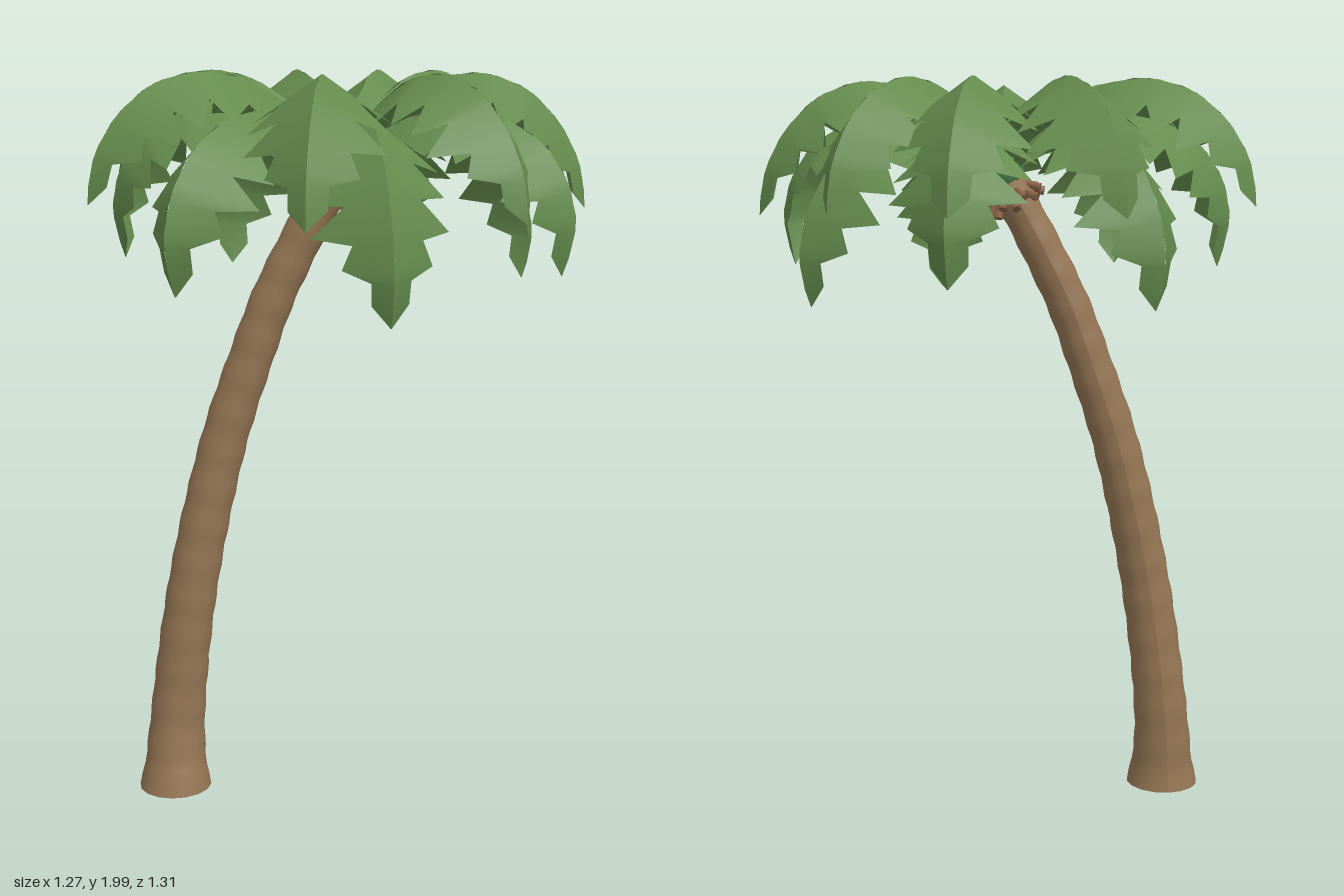
import * as THREE from 'three';

const V3 = (x, y, z) => new THREE.Vector3(x, y, z);

const bark = new THREE.MeshStandardMaterial({ name: 'bark brown', color: 0x957654 });
const husk = new THREE.MeshStandardMaterial({ name: 'husk brown', color: 0x8c6548 });
const leaf = new THREE.MeshStandardMaterial({ name: 'leaf green', color: 0x648b4d, side: THREE.DoubleSide });
const bud = new THREE.MeshStandardMaterial({ name: 'bud green', color: 0x4a7a4a });

const CROWN = V3(-0.01, 0, 0);

// Leaning centre line of the trunk
const trunkLine = new THREE.CatmullRomCurve3([
  V3(-0.48, 0.005, 0.04), V3(-0.472, 0.2, 0.022), V3(-0.42, 0.6, 0.02), V3(-0.33, 1.0, 0.008),
  V3(-0.25, 1.24, 0.004), V3(-0.19, 1.4, 0.002), V3(-0.132, 1.52, 0), V3(-0.058, 1.66, 0), V3(-0.013, 1.74, 0),
]);

// Frame across the trunk at parameter u
function trunkFrame(u) {
  const up = trunkLine.getTangentAt(u);
  if (u === 0) up.set(0, 1, 0);
  const x = V3().crossVectors(up, V3(0, 0, 1)).normalize();
  const z = V3().crossVectors(x, up);
  return { p: trunkLine.getPointAt(u), x, up, z };
}

// Trunk: a cylinder bent along the line, flared at the foot, with soft rings
function makeTrunk() {
  const geo = new THREE.CylinderGeometry(1, 1, 1, 16, 60);
  geo.rotateY(Math.PI);
  const pos = geo.attributes.position;
  for (let i = 0; i < pos.count; i++) {
    const u = THREE.MathUtils.clamp(pos.getY(i) + 0.5, 0, 1);
    const f = trunkFrame(u);
    const ring = 0.0018 * Math.sin(u * Math.PI * 2 * 17);
    const r = 0.077 - 0.025 * u + 0.024 * Math.exp(-u * 20) + ring;
    f.p.addScaledVector(f.x, pos.getX(i) * r).addScaledVector(f.z, pos.getZ(i) * r);
    pos.setXYZ(i, f.p.x, Math.max(0, f.p.y), f.p.z);
  }
  geo.computeVertexNormals();
  const mesh = new THREE.Mesh(geo, bark);
  mesh.name = 'trunk';
  return mesh;
}

// Collar of short husk stubs below the crown
function makeHusks() {
  const group = new THREE.Group();
  group.name = 'huskCollar';
  const f = trunkFrame(0.965);
  const geo = new THREE.CylinderGeometry(0.008, 0.013, 0.045, 5);
  for (let i = 0; i < 14; i++) {
    const a = (i / 14) * Math.PI * 2;
    const out = f.x.clone().multiplyScalar(Math.cos(a)).addScaledVector(f.z, Math.sin(a));
    const stub = new THREE.Mesh(geo, husk);
    stub.name = 'huskStub';
    stub.position.copy(f.p).addScaledVector(out, 0.06).addScaledVector(f.up, i % 2 ? -0.008 : 0.008);
    stub.quaternion.setFromUnitVectors(V3(0, 1, 0), f.up.clone().addScaledVector(out, -1.1).normalize());
    group.add(stub);
  }
  return group;
}

// Rows along half a frond: [distance along the rib, half width], with sawtooth edge
function frondRows(shift) {
  const width = t => Math.min(0.012 + 0.2 * t + t * t, 0.21, 0.02 + 0.75 * (1 - t));
  const rows = [0, 0.06, 0.12, 0.17, 0.22].map(t => [t, width(t)]);
  const teeth = [0.31, 0.45, 0.59, 0.72, 0.84, 0.95].map(t => t + shift * (1 - t));
  teeth.forEach((t, i) => {
    rows.push([t, width(t)]);
    if (i === teeth.length - 1) return;
    const notch = t + 0.35 * (teeth[i + 1] - t);
    rows.push([notch, width(notch) * 0.55]);
  });
  rows.push([1, 0.002]);
  return rows;
}

// One frond: two drooping halves folded along an arched rib
function makeFrond(profile, tipX, tipZ, tipY, name) {
  const dir = V3(tipX - CROWN.x, 0, tipZ - CROWN.z);
  const reach = dir.length();
  dir.normalize();
  const side = V3(-dir.z, 0, dir.x);
  const last = profile[profile.length - 1];
  const rib = new THREE.CatmullRomCurve3(profile.map(([r, y]) => {
    const k = r / last[0];
    const p = CROWN.clone().addScaledVector(dir, k * reach);
    p.y = y + (tipY - last[1]) * k * k * k;
    return p;
  }));
  const verts = [], index = [];
  for (const s of [-1, 1]) {
    const base = verts.length / 3;
    frondRows(s > 0 ? 0.05 : 0).forEach(([t, w], i) => {
      const p = rib.getPointAt(t);
      // Points up and outward from the arch
      const normal = V3().crossVectors(rib.getTangentAt(t), side).negate();
      const edge = p.clone().addScaledVector(side, s * w * 0.82).addScaledVector(normal, -w * 0.57);
      verts.push(p.x, p.y, p.z, edge.x, edge.y, edge.z);
      if (i === 0) return;
      const a = base + i * 2 - 2, b = a + 1, c = a + 2, d = a + 3;
      if (s > 0) index.push(a, b, c, b, d, c);
      else index.push(a, c, b, b, c, d);
    });
  }
  const geo = new THREE.BufferGeometry();
  geo.setAttribute('position', new THREE.Float32BufferAttribute(verts, 3));
  geo.setIndex(index);
  geo.computeVertexNormals();
  const mesh = new THREE.Mesh(geo, leaf);
  mesh.name = name;
  return mesh;
}

// Rib profiles: [reach, height]
const UPPER = [
  [0.01, 1.77], [0.1, 1.875], [0.22, 1.96], [0.36, 1.99], [0.49, 1.95], [0.59, 1.85], [0.64, 1.74], [0.65, 1.65],
];
const LOWER = [
  [0.01, 1.75], [0.12, 1.84], [0.27, 1.895], [0.42, 1.85], [0.53, 1.74], [0.585, 1.6], [0.585, 1.51], [0.56, 1.43],
];

// Frond tips: [x, z, y]
const UPPER_TIPS = [
  [0.635, 0.025, 1.64], [0.455, -0.47, 1.66], [0.18, -0.63, 1.66], [-0.235, -0.66, 1.66],
  [-0.635, -0.27, 1.67], [-0.635, 0.295, 1.67], [-0.085, 0.65, 1.64], [0.44, 0.475, 1.64],
];
const LOWER_TIPS = [
  [0.55, 0.27, 1.49], [0.5, -0.235, 1.42], [0.175, -0.56, 1.49], [-0.335, -0.505, 1.43],
  [-0.59, -0.04, 1.5], [-0.4, 0.51, 1.47], [0.115, 0.54, 1.4],
];

export function createModel() {
  const model = new THREE.Group();
  model.name = 'palmTree';
  model.add(makeTrunk(), makeHusks());

  const crown = new THREE.Group();
  crown.name = 'crown';
  for (const [x, z, y] of UPPER_TIPS) crown.add(makeFrond(UPPER, x, z, y, 'upperFrond'));
  for (const [x, z, y] of LOWER_TIPS) crown.add(makeFrond(LOWER, x, z, y, 'lowerFrond'));

  // Round bud where the fronds meet
  const ball = new THREE.Mesh(new THREE.SphereGeometry(0.06, 14, 10), bud);
  ball.name = 'crownBud';
  ball.position.set(CROWN.x, 1.75, CROWN.z);
  crown.add(ball);
  model.add(crown);
  return model;
}
